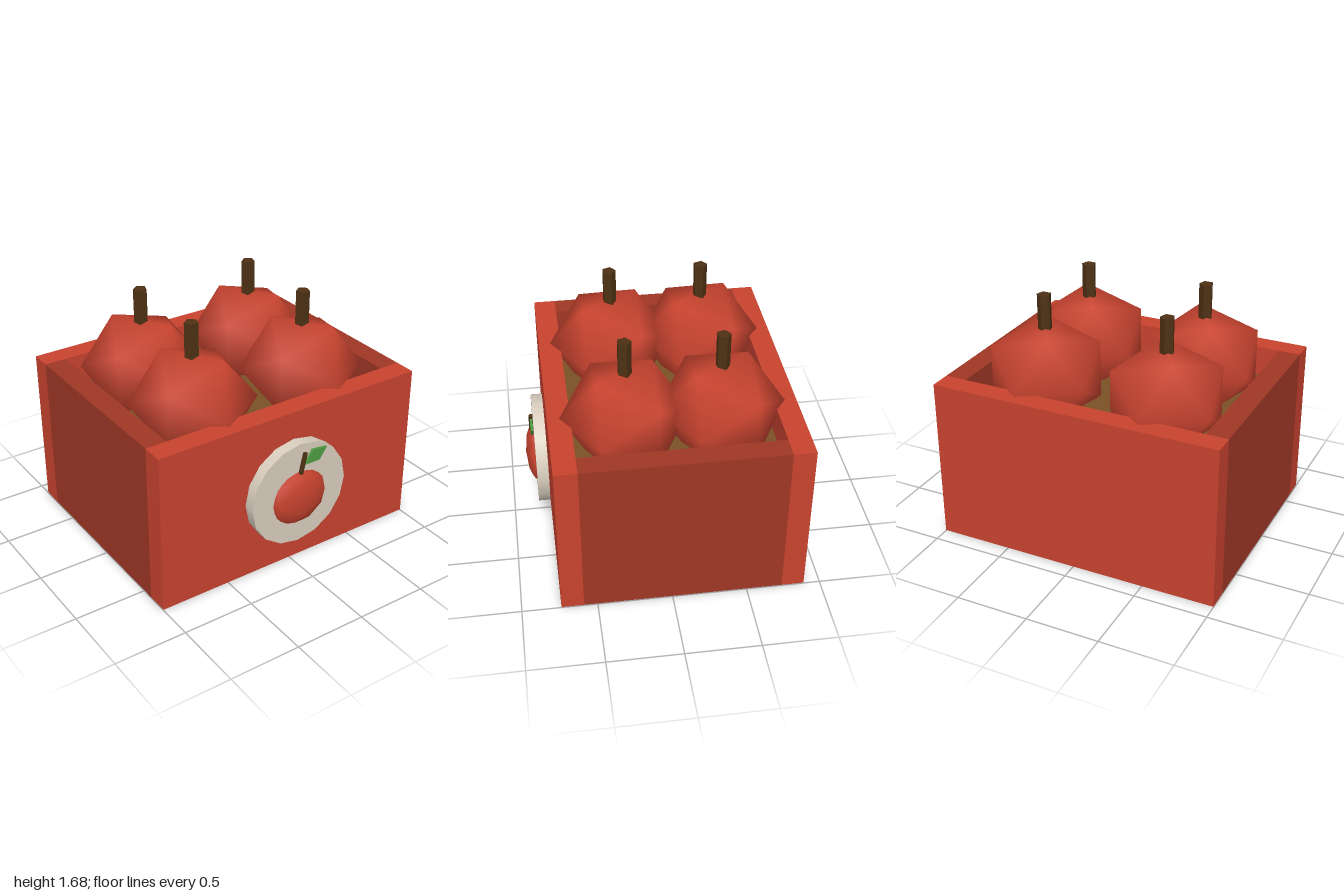
import * as THREE from 'three';
import { mergeVertices } from 'three/addons/utils/BufferGeometryUtils.js';

const material = (name, color) => {
  const m = new THREE.MeshStandardMaterial({ color });
  m.name = name;
  return m;
};

// Low-poly ball with shared vertices, so the shading is smooth
function smoothBall(radius, detail) {
  let g = new THREE.IcosahedronGeometry(radius, detail);
  g.deleteAttribute('uv');
  g.deleteAttribute('normal');
  g = mergeVertices(g, 1e-4);
  g.computeVertexNormals();
  return g;
}

export function createModel() {
  const red = material('red', 0xc8432f);
  const darkRed = material('dark red', 0xa03726);
  const brown = material('floor brown', 0x7a5126);
  const bark = material('stem brown', 0x4e3114);
  const cream = material('cream', 0xd9cebe);
  const green = material('leaf green', 0x4f9c43);

  const model = new THREE.Group();
  model.name = 'appleCrate';

  function add(name, geometry, mat, x, y, z, parent = model) {
    const mesh = new THREE.Mesh(geometry, mat);
    mesh.name = name;
    mesh.position.set(x, y, z);
    parent.add(mesh);
    return mesh;
  }
  // Box given by its lower and upper corners
  const block = (name, mat, a, b) => add(name,
    new THREE.BoxGeometry(b[0] - a[0], b[1] - a[1], b[2] - a[2]), mat,
    (a[0] + b[0]) / 2, (a[1] + b[1]) / 2, (a[2] + b[2]) / 2);

  // Crate walls
  const top = 1.13, base = 0.004;
  block('frontWall', red, [-1, base, 0.59], [1, top, 0.74]);
  block('backWall', red, [-1, base, -0.89], [1, top, -0.74]);
  block('leftWall', darkRed, [0.85, base, -0.74], [1, top, 0.59]);
  block('rightWall', darkRed, [-1, base, -0.74], [-0.85, top, 0.59]);

  // Raised floor inside and board underneath
  block('floor', brown, [-0.85, base, -0.74], [0.85, 0.92, 0.59]);
  block('underside', brown, [-0.92, 0, -0.87], [0.92, base, 0.6]);

  // Four apples with five-sided stems
  const appleGeometry = smoothBall(0.424, 0);
  appleGeometry.rotateY(-THREE.MathUtils.degToRad(58.28));
  appleGeometry.scale(1, 0.89, 1);
  const stemGeometry = new THREE.CylinderGeometry(0.048, 0.048, 0.38, 5).toNonIndexed();
  stemGeometry.rotateY(Math.PI);
  stemGeometry.computeVertexNormals();
  for (const x of [-0.437, 0.437]) {
    for (const z of [-0.39, 0.237]) {
      const apple = new THREE.Group();
      apple.name = 'apple';
      apple.position.set(x, 1.13, z);
      model.add(apple);
      add('appleBody', appleGeometry, red, 0, 0, 0, apple);
      add('appleStem', stemGeometry, bark, 0, 0.36, 0, apple);
    }
  }

  // Round badge on the front
  const disc = new THREE.CylinderGeometry(0.373, 0.373, 0.077, 16);
  disc.rotateX(Math.PI / 2);
  add('badgeDisc', disc, cream, 0, 0.567, 0.787);

  // Flattened apple on the badge
  const smallApple = smoothBall(1, 1);
  smallApple.scale(0.22, 0.207, 0.075);
  add('badgeApple', smallApple, red, 0, 0.538, 0.813);

  const smallStem = new THREE.CylinderGeometry(0.017, 0.017, 0.15, 5);
  add('badgeStem', smallStem, bark, 0.014, 0.795, 0.836).rotation.z = -0.22;

  // Leaf
  const leaf = new THREE.Shape([[0.03, 0.785], [0.14, 0.785], [0.197, 0.865], [0.085, 0.877]]
    .map(([x, y]) => new THREE.Vector2(x, y)));
  add('badgeLeaf', new THREE.ExtrudeGeometry(leaf, { depth: 0.018, bevelEnabled: false }),
    green, 0, 0, 0.828);

  return model;
}
